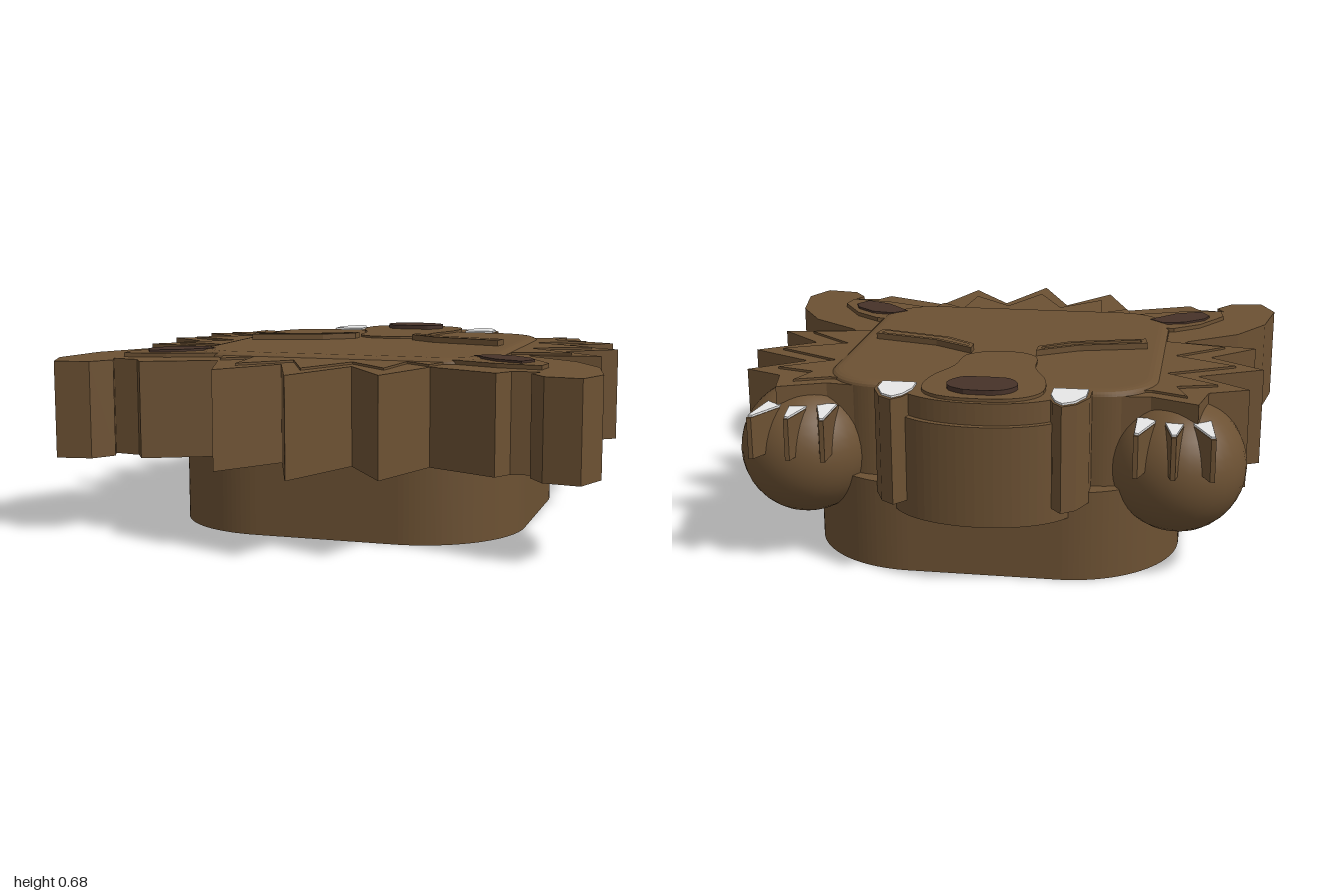
import * as THREE from 'three';

const mat = (name, color) => {
  const m = new THREE.MeshStandardMaterial({ color });
  m.name = name;
  return m;
};

export function createModel() {
  const brown = mat('brown fur', 0x6c5133);
  const dark = mat('dark brown', 0x463229);
  const ivory = mat('ivory', 0xf0f0f0);
  const group = new THREE.Group();

  // Plan outlines are given as [x, z]; slabs run from yBottom up to yTop
  const outline = (pts) => new THREE.Shape(pts.map(([x, z]) => new THREE.Vector2(x, z)));
  const flip = (pts) => pts.map(([x, z]) => [-x, z]);
  const symmetric = (half) => [...half, ...flip(half).reverse()];
  const smooth = (pts) => {
    const curve = new THREE.SplineCurve([...pts, pts[0]].map(([x, z]) => new THREE.Vector2(x, z)));
    return curve.getPoints(pts.length * 4).slice(0, -1).map((p) => [p.x, p.y]);
  };
  const shrink = (pts, s) => {
    const cx = pts.reduce((a, p) => a + p[0], 0) / pts.length;
    const cz = pts.reduce((a, p) => a + p[1], 0) / pts.length;
    return pts.map(([x, z]) => [cx + (x - cx) * s, cz + (z - cz) * s]);
  };
  const slab = (name, shape, yBottom, yTop, material) => {
    const g = new THREE.ExtrudeGeometry(shape, { depth: yTop - yBottom, bevelEnabled: false, curveSegments: 16 });
    g.rotateX(Math.PI / 2).translate(0, yTop, 0);
    const mesh = new THREE.Mesh(g, material);
    mesh.name = name;
    group.add(mesh);
    return mesh;
  };
  const roundedRect = (hx, z0, z1, r) => {
    const s = new THREE.Shape();
    s.absarc(hx - r, z1 - r, r, 0, Math.PI / 2);
    s.absarc(-hx + r, z1 - r, r, Math.PI / 2, Math.PI);
    s.absarc(-hx + r, z0 + r, r, Math.PI, Math.PI * 1.5);
    s.absarc(hx - r, z0 + r, r, Math.PI * 1.5, Math.PI * 2);
    return s;
  };

  // Rounded base block
  slab('base', roundedRect(0.66, -0.8, 0.53, 0.4), 0, 0.32, brown);

  // Head block with a softened top edge
  const headGeo = new THREE.ExtrudeGeometry(roundedRect(0.54, -0.68, 0.4, 0.16), {
    depth: 0.33, bevelEnabled: true, bevelSize: 0.04, bevelThickness: 0.02, bevelSegments: 4, curveSegments: 12,
  });
  headGeo.rotateX(Math.PI / 2).translate(0, 0.638, 0);
  const head = new THREE.Mesh(headGeo, brown);
  head.name = 'head';
  group.add(head);

  // Spiky mane, including the curled side locks
  slab('mane', outline(symmetric([
    [0.4, -0.71], [0.56, -0.69], [0.72, -0.76], [0.75, -0.62], [0.888, -0.56], [0.71, -0.42],
    [0.94, -0.3], [0.75, -0.16], [0.915, -0.01], [0.65, 0.04], [0.66, 0.06], [0.85, 0.2],
    [0.957, 0.375], [1, 0.6], [0.95, 0.73], [0.82, 0.71], [0.765, 0.63], [0.79, 0.575],
    [0.69, 0.59], [0.65, 0.655], [0.395, 0.535], [0.295, 0.83], [0.13, 0.595], [0.001, 0.92],
  ])), 0.285, 0.637, brown);

  // Thin second layer of shorter spikes
  slab('innerMane', outline(symmetric([
    [0.4, -0.66], [0.56, -0.64], [0.68, -0.69], [0.64, -0.58], [0.78, -0.54], [0.6, -0.42],
    [0.84, -0.29], [0.62, -0.18], [0.8, -0.03], [0.58, 0.02], [0.58, 0.2], [0.42, 0.42],
    [0.39, 0.53], [0.29, 0.45], [0.27, 0.68], [0.11, 0.52], [0.001, 0.76],
  ])), 0.628, 0.645, brown);

  // Snout: tall body, inset upper step, bridge pad and nose
  const arch = (r, z) => {
    const s = new THREE.Shape();
    s.moveTo(r, -0.6);
    s.lineTo(r, z);
    s.absellipse(0, z, r, 0.93 + z - (0.32 - r) * 1.1, 0, -Math.PI, true);
    s.lineTo(-r, -0.6);
    return s;
  };
  slab('snout', arch(0.32, -0.72), 0.23, 0.58, brown);
  slab('snoutTop', arch(0.3, -0.72), 0.57, 0.655, brown);
  slab('bridge', outline(smooth(symmetric([
    [0.06, -0.295], [0.13, -0.36], [0.145, -0.5], [0.2, -0.65], [0.2, -0.8], [0.1, -0.88],
  ]))), 0.645, 0.666, brown);
  slab('nose', outline(smooth(symmetric([
    [0.05, -0.845], [0.105, -0.81], [0.12, -0.755], [0.085, -0.695], [0.03, -0.685],
  ]))), 0.66, 0.682, dark);

  for (const side of [1, -1]) {
    const at = (pts) => (side > 0 ? pts : flip(pts));
    const prefix = side > 0 ? 'left' : 'right';

    // Ear with a dark centre
    const ear = [[0.46, 0.2], [0.6, 0.2], [0.7, 0.28], [0.79, 0.43], [0.78, 0.515], [0.62, 0.49], [0.4, 0.4]];
    slab(prefix + 'Ear', outline(at(ear)), 0.63, 0.652, brown);
    slab(prefix + 'InnerEar', outline(at([
      [0.735, 0.4], [0.715, 0.345], [0.635, 0.275], [0.55, 0.26], [0.5, 0.31], [0.6, 0.42], [0.7, 0.465],
    ])), 0.651, 0.66, dark);

    // Closed eye: raised rim around a lower lid
    const eye = outline(at([[0.515, -0.15], [0.27, -0.215], [0.12, -0.31], [0.12, -0.25], [0.23, -0.165], [0.505, -0.085]]));
    eye.holes.push(new THREE.Path(at([
      [0.495, -0.137], [0.265, -0.198], [0.135, -0.28], [0.135, -0.26], [0.24, -0.182], [0.487, -0.108],
    ]).map(([x, z]) => new THREE.Vector2(x, z))));
    slab(prefix + 'Eye', eye, 0.65, 0.68, brown);

    // Fang with an ivory cap
    const fang = [[0.225, -0.7], [0.225, -0.79], [0.25, -0.865], [0.283, -0.905], [0.33, -0.87], [0.365, -0.79], [0.365, -0.7]];
    slab(prefix + 'Fang', outline(at(fang)), 0.285, 0.655, brown);
    slab(prefix + 'FangCap', outline(at([
      [0.235, -0.715], [0.235, -0.79], [0.255, -0.855], [0.283, -0.888], [0.323, -0.86], [0.353, -0.79], [0.353, -0.715],
    ])), 0.654, 0.662, ivory);

    // Round paw with three claws
    const paw = new THREE.Mesh(new THREE.SphereGeometry(0.235, 32, 20), brown);
    paw.name = prefix + 'Paw';
    paw.position.set(side * 0.655, 0.385, -0.625);
    group.add(paw);
    [[0.524, 0.515, 0.595], [0.647, 0.6, 0.685], [0.775, 0.68, 0.765]].forEach(([tip, a, b]) => {
      const claw = [[a, -0.71], [tip - 0.008, -0.895], [tip + 0.008, -0.895], [b, -0.71]];
      slab(prefix + 'Claw', outline(at(claw)), 0.42, 0.645, brown).scale.y = 1;
      slab(prefix + 'ClawCap', outline(at(shrink(claw, 0.9))), 0.644, 0.652, ivory);
    });
  }

  // Claws sit lower than the face
  group.children.forEach((m) => {
    if (m.name.endsWith('Claw')) m.geometry.translate(0, -0.645, 0).scale(1, 0.65, 1).translate(0, 0.565, 0);
    if (m.name.endsWith('ClawCap')) m.geometry.translate(0, -0.08, 0);
  });
  return group;
}
